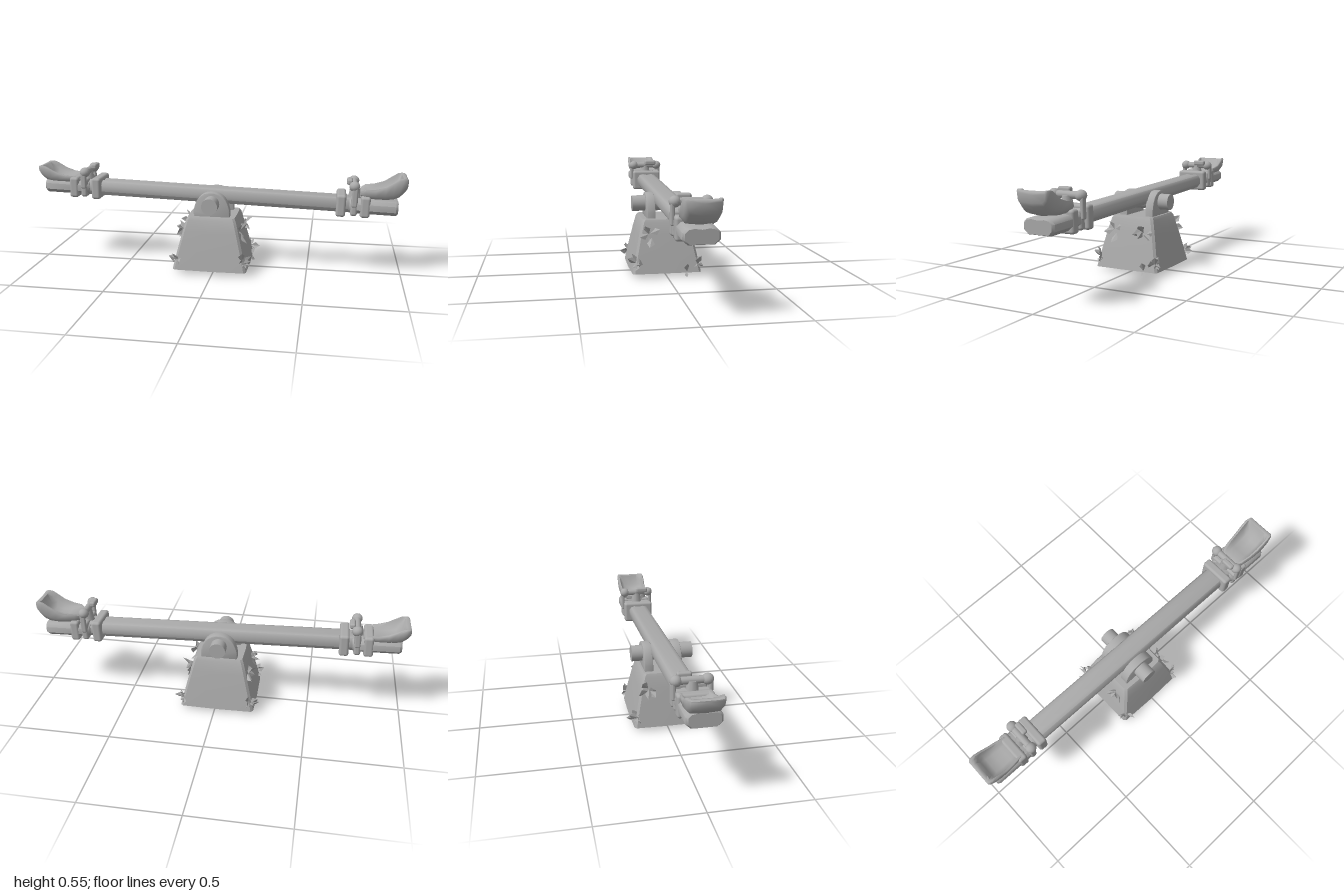
import * as THREE from 'three';
import { toCreasedNormals } from 'three/addons/utils/BufferGeometryUtils.js';
import { RoundedBoxGeometry } from 'three/addons/geometries/RoundedBoxGeometry.js';

const grey = new THREE.MeshStandardMaterial({ color: 0xaaaaaa, side: THREE.DoubleSide });
grey.name = 'stone grey';

function add(parent, name, geometry, x = 0, y = 0, z = 0) {
  const mesh = new THREE.Mesh(geometry, grey);
  mesh.name = name;
  mesh.position.set(x, y, z);
  parent.add(mesh);
  return mesh;
}

// Closed solid through rings of [x, y, z] points, wound outward
function loft(rings, crease = 0.7) {
  const n = rings[0].length;
  const points = rings.flat();
  const tris = [];
  for (let r = 0; r < rings.length - 1; r++) {
    for (let i = 0; i < n; i++) {
      const a = r * n + i, b = r * n + (i + 1) % n;
      tris.push([a, b, b + n], [a, b + n, a + n]);
    }
  }
  [rings[0], rings.at(-1)].forEach((ring, end) => {
    const centre = [0, 1, 2].map(k => ring.reduce((s, p) => s + p[k], 0) / n);
    const c = points.push(centre) - 1, base = end ? (rings.length - 1) * n : 0;
    for (let i = 0; i < n; i++) {
      const a = base + i, b = base + (i + 1) % n;
      tris.push(end ? [a, b, c] : [b, a, c]);
    }
  });
  const v = points.map(p => new THREE.Vector3(...p));
  let volume = 0;
  for (const [a, b, c] of tris) volume += v[a].dot(v[b].clone().cross(v[c]));
  if (volume < 0) tris.forEach(t => t.reverse());
  const g = new THREE.BufferGeometry();
  g.setAttribute('position', new THREE.Float32BufferAttribute(points.flat(), 3));
  g.setIndex(tris.flat());
  return toCreasedNormals(g, crease);
}

// Tapered foot with slightly bulging faces
function baseGeometry() {
  const levels = [[0, 0.2, 0.185], [0.1, 0.177, 0.165], [0.2, 0.152, 0.143],
    [0.265, 0.135, 0.127], [0.28, 0.127, 0.118]];
  return loft(levels.map(([y, hx, hz]) => {
    const c = 0.012;
    return [[hx, hz - c], [hx - c, hz], [0, hz + 0.004], [c - hx, hz], [-hx, hz - c], [-hx - 0.003, 0],
      [-hx, c - hz], [c - hx, -hz], [0, -hz - 0.004], [hx - c, -hz], [hx, c - hz], [hx + 0.003, 0]]
      .map(([x, z]) => [x, y, z]);
  }), 0.6);
}

// Log-like bar: octagon with a shallow groove along the top
function barGeometry(x0, x1, hy, hz) {
  const outline = [[0, 0.86], [0.45, 1], [0.8, 0.85], [1, 0.4], [1, -0.45], [0.72, -1],
    [-0.72, -1], [-1, -0.45], [-1, 0.4], [-0.8, 0.85], [-0.45, 1]];
  return loft([[x0, 0.88], [x0 + 0.012, 1], [x1 - 0.012, 1], [x1, 0.88]]
    .map(([x, s]) => outline.map(([z, y]) => [x, y * hy * s, z * hz * s])), 0.8);
}

// Scooped seat; stations run from the inner lip to the tall back
function seatGeometry(height) {
  // x, half width, underside, rim, hollow floor (heights as fractions)
  const stations = [[0.765, 0.055, 0.1, 0.3, 0.27], [0.79, 0.07, 0, 0.42, 0.34], [0.84, 0.078, 0, 0.47, 0.25],
    [0.89, 0.083, 0, 0.6, 0.25], [0.93, 0.085, 0.03, 0.82, 0.32], [0.957, 0.085, 0.12, 0.97, 0.5],
    [0.975, 0.084, 0.27, 1, 0.95], [0.99, 0.08, 0.42, 1, 0.98], [0.998, 0.073, 0.55, 0.95, 0.93]];
  return loft(stations.map(([x, w, low, rim, floor]) => {
    const mid = low + (rim - low) * 0.35;
    const half = [[0.75, low + (mid - low) * 0.2], [0.95, mid], [1, rim - 0.07], [0.95, rim],
      [0.85, rim], [0.74, floor + (rim - floor) * 0.4], [0.5, floor]];
    return [[0, low], ...half, [0, floor], ...half.slice().reverse().map(([z, y]) => [-z, y])]
      .map(([z, y]) => [x, y * height, z * w]);
  }), 1);
}

// Dome-topped support plate
function bracketGeometry() {
  const s = new THREE.Shape();
  s.moveTo(-0.094, 0.26);
  s.lineTo(-0.094, 0.31);
  s.bezierCurveTo(-0.085, 0.37, -0.055, 0.408, 0, 0.408);
  s.bezierCurveTo(0.055, 0.408, 0.085, 0.37, 0.094, 0.31);
  s.lineTo(0.094, 0.26);
  const g = new THREE.ExtrudeGeometry(s, { depth: 0.035, bevelThickness: 0.006, bevelSize: 0.004,
    bevelSegments: 2, curveSegments: 12 });
  g.translate(0, 0, -0.0175);
  return toCreasedNormals(g, 0.6);
}

// Folded diamond leaf pointing along +y
function leafGeometry() {
  const g = new THREE.BufferGeometry();
  g.setAttribute('position', new THREE.Float32BufferAttribute([
    0, 0, 0, 0.019, 0.03, -0.008, 0, 0.056, 0,
    0, 0, 0, 0, 0.056, 0, -0.019, 0.03, -0.008], 3));
  g.computeVertexNormals();
  return g;
}

export function createModel() {
  const model = new THREE.Group();
  model.name = 'seesaw';

  // Foot, supports and axle
  add(model, 'base', baseGeometry(), -0.015, 0, 0);
  for (const z of [0.07, -0.087]) add(model, 'axleBracket', bracketGeometry(), -0.015, 0, z);
  const axle = add(model, 'axle', new THREE.CylinderGeometry(0.043, 0.043, 0.332, 24), -0.015, 0.352, -0.002);
  axle.rotation.x = Math.PI / 2;

  // Tilted beam with everything that rides on it
  const beam = new THREE.Group();
  beam.name = 'beamAssembly';
  beam.position.set(0, 0.383, -0.01);
  beam.rotation.z = -0.029;
  model.add(beam);
  add(beam, 'beam', barGeometry(-0.75, 0.75, 0.04, 0.059));

  for (const side of [1, -1]) {
    const end = new THREE.Group();
    end.name = side > 0 ? 'leftEnd' : 'rightEnd';
    end.rotation.y = side > 0 ? 0 : Math.PI;
    beam.add(end);
    add(end, 'endBlock', barGeometry(0.71, 0.961, 0.038, 0.082));

    // Binding collars
    for (const [x, w, h] of [[0.668, 0.05, 0.118], [0.735, 0.036, 0.1], [0.793, 0.05, 0.112]]) {
      add(end, 'collar', new RoundedBoxGeometry(w, h, 0.172, 3, 0.014), x, 0, 0);
    }

    // Seat
    const tall = side > 0;
    add(end, 'seat', seatGeometry(tall ? 0.125 : 0.092), 0, tall ? 0.04 : 0.018, 0);

    // Handle: stem, cross bar and knobs
    const y = tall ? 0.108 : 0.088;
    add(end, 'handleStem', new THREE.CylinderGeometry(0.022, 0.034, y - 0.03, 10), 0.735, (y + 0.03) / 2, 0);
    const bar = add(end, 'handleBar', new THREE.CylinderGeometry(0.018, 0.018, 0.16, 12), 0.73, y, 0);
    bar.rotation.x = Math.PI / 2;
    for (const z of [-1, 1]) {
      const knob = add(end, 'handleKnob', new THREE.SphereGeometry(0.028, 14, 10), 0.73, y, z * 0.073);
      knob.scale.set(1, 0.95, 1);
      add(end, 'handleStrap', new RoundedBoxGeometry(0.03, y, 0.02, 2, 0.008), 0.735, y / 2, z * 0.085);
    }
    add(end, 'handleGrip', new RoundedBoxGeometry(0.03, 0.03, 0.07, 2, 0.01), 0.705, y + 0.018, 0.03);
  }

  // Leaf tufts: position, outward direction in x and z, leaf count
  let seed = 7;
  const rand = () => (seed = (seed * 16807) % 2147483647) / 2147483647;
  const leaf = leafGeometry();
  const tufts = [[0.165, 0.05, 0.155, 1, 1, 9], [0.165, 0.045, -0.165, 1, -1, 6],
    [-0.19, 0.045, 0.16, -1, 1, 8], [-0.19, 0.045, -0.165, -1, -1, 9],
    [0.138, 0.2, 0.085, 1, 0.2, 5], [0.138, 0.205, -0.09, 1, -0.2, 5],
    [-0.168, 0.2, 0.07, -1, 0.2, 5], [-0.168, 0.2, -0.1, -1, -0.2, 5],
    [0.18, 0.015, -0.1, 1, 0, 2]];
  for (const [x, y, z, dx, dz, count] of tufts) {
    const tuft = new THREE.Group();
    tuft.name = 'leafTuft';
    tuft.position.set(x, y, z);
    tuft.rotation.y = Math.atan2(dx, dz);
    model.add(tuft);
    for (let i = 0; i < count; i++) {
      const m = add(tuft, 'leaf', leaf, (rand() - 0.5) * 0.02, (rand() - 0.5) * 0.025, 0.004);
      m.rotation.order = 'ZXY';
      m.rotation.set(0.2 + rand() * 0.6, (rand() - 0.5) * 1.2, (i + rand() * 0.5) / count * Math.PI * 2);
      // Keep hanging leaves above the ground
      const drop = y < 0.1 && Math.cos(m.rotation.z) < 0 ? 0.6 : 1;
      m.scale.setScalar(drop * (0.85 + rand() * 0.3));
    }
  }
  return model;
}
